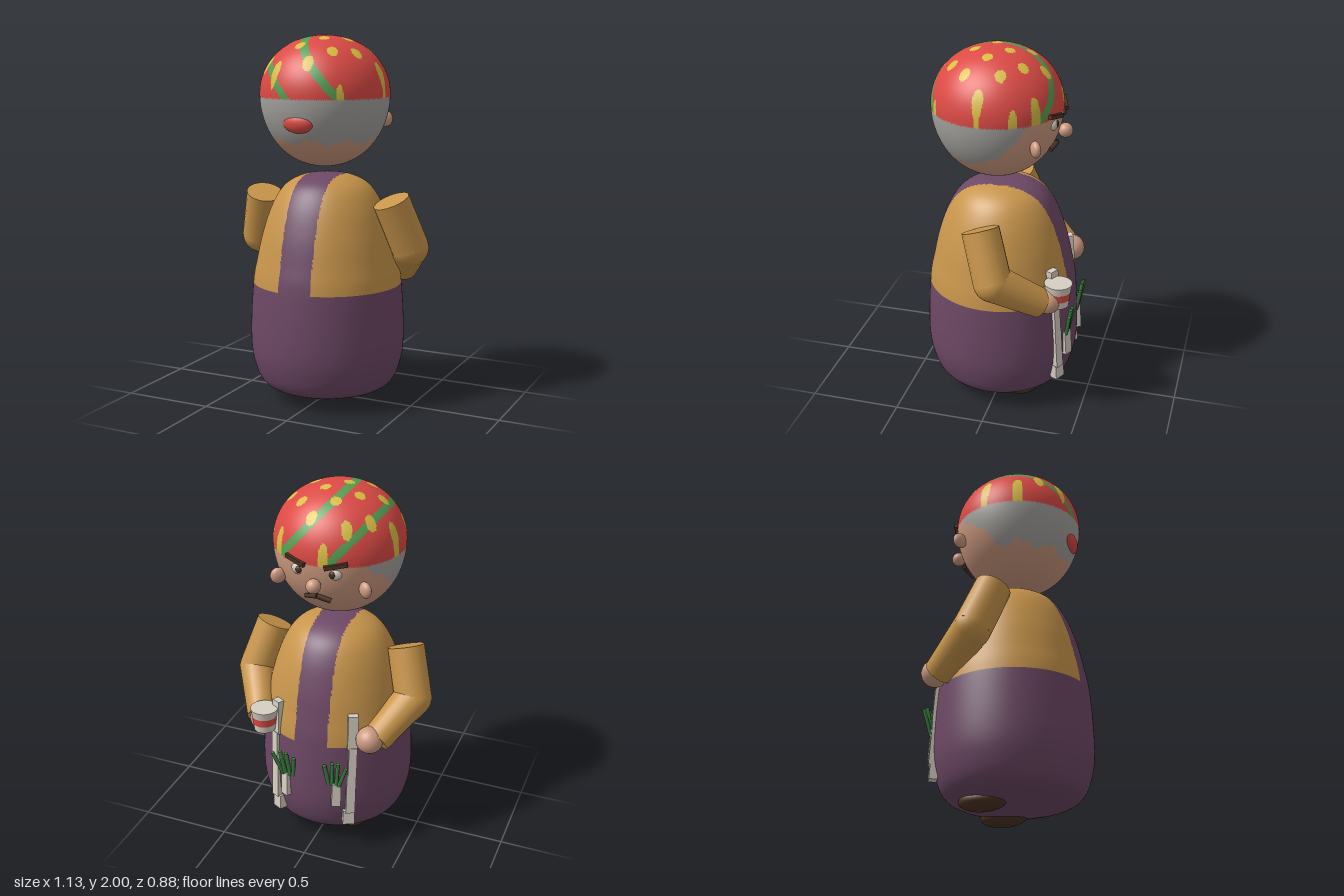
import * as THREE from 'three';

const mat = (name, color) => {
  const m = new THREE.MeshStandardMaterial({ color });
  m.name = name;
  return m;
};
const red = mat('red', 0xdc4a45), green = mat('stripe green', 0x559e52), yellow = mat('dot yellow', 0xd9bd42);
const grey = mat('hair grey', 0xa5a39f), skin = mat('skin', 0xcd9a80), orange = mat('shirt ochre', 0xc8954b);
const purple = mat('overall purple', 0x6d4865), dark = mat('dark brown', 0x4a3222);
const bone = mat('bone white', 0xd6cfc2), leaf = mat('leaf green', 0x3c8442);

const v = (x, y, z) => new THREE.Vector3(x, y, z);

function add(parent, name, geo, material, pos = v(0, 0, 0)) {
  const mesh = new THREE.Mesh(geo, material);
  mesh.name = name;
  mesh.position.copy(pos);
  parent.add(mesh);
  return mesh;
}

function ball(parent, name, material, pos, rx, ry = rx, rz = rx) {
  return add(parent, name, new THREE.SphereGeometry(1, 24, 16).scale(rx, ry, rz), material, pos);
}

// Tapered rod from a to b
function rod(parent, name, material, a, b, ra, rb = ra, sides = 20) {
  const mesh = add(parent, name, new THREE.CylinderGeometry(rb, ra, a.distanceTo(b), sides), material,
    a.clone().add(b).multiplyScalar(0.5));
  mesh.quaternion.setFromUnitVectors(v(0, 1, 0), b.clone().sub(a).normalize());
  return mesh;
}

// Sort the triangles into material groups, using a rule on each triangle's centre
function paint(geo, rule, count) {
  const p = geo.attributes.position, idx = geo.index.array;
  const buckets = Array.from({ length: count }, () => []);
  for (let i = 0; i < idx.length; i += 3) {
    const t = [idx[i], idx[i + 1], idx[i + 2]];
    const mid = (get) => (get(t[0]) + get(t[1]) + get(t[2])) / 3;
    buckets[rule(mid((k) => p.getX(k)), mid((k) => p.getY(k)), mid((k) => p.getZ(k)))].push(...t);
  }
  geo.setIndex(buckets.flat());
  let start = 0;
  buckets.forEach((b, i) => {
    geo.addGroup(start, b.length, i);
    start += b.length;
  });
  return geo;
}

// Purple overalls with a centre strap over an ochre shirt
function buildBody(root) {
  const outline = [[0, 0.03], [0.12, 0.035], [0.23, 0.05], [0.355, 0.1], [0.41, 0.22], [0.425, 0.38], [0.41, 0.66],
    [0.385, 0.8], [0.35, 0.95], [0.295, 1.1], [0.225, 1.2], [0.12, 1.252], [0, 1.262]];
  const curve = new THREE.SplineCurve(outline.map(([r, y]) => new THREE.Vector2(r, y)));
  const points = curve.getPoints(72).map((q) => new THREE.Vector2(Math.max(q.x, 0), q.y));
  const geo = new THREE.LatheGeometry(points, 240).translate(0, 0, 0.012);
  paint(geo, (x, y) => (y > 0.66 && Math.abs(x) > 0.093 ? 1 : 0), 2);
  add(root, 'body', geo, [purple, orange]);
}

// Egg-shaped head carrying the face, hair and patterned cap
function buildHead(root) {
  const points = [];
  for (let i = 0; i <= 110; i++) {
    const t = -Math.PI / 2 + (Math.PI * i) / 110, s = Math.sin(t);
    points.push(new THREE.Vector2(0.351 * Math.max(Math.cos(t), 0) ** 0.95, 1.69 + s * (s > 0 ? 0.31 : 0.39)));
  }
  const geo = new THREE.LatheGeometry(points, 240).translate(0, 0, 0.042);
  const rule = (x, y, z) => {
    if (y > 1.675) {
      const row = Math.round((z - 0.055) / 0.0925);
      const u = x + 0.045 - (row % 2 ? 0.0925 : 0);
      if (Math.hypot(u - 0.185 * Math.round(u / 0.185), z - 0.055 - row * 0.0925) < 0.028) return 4;
      const d = x + 0.88 * y;
      return Math.abs(d - 1.69) < 0.027 || Math.abs(d - 1.417) < 0.027 ? 3 : 2;
    }
    const a = Math.atan2(x, z - 0.042);
    const hairline = 1.45 + 0.015 * Math.sin(9 * a) + 0.008 * Math.sin(23 * a) + Math.max(0, 0.03 - z) * 0.92;
    return y > hairline ? 1 : 0;
  };
  add(root, 'head', paint(geo, rule, 5), [skin, grey, red, green, yellow]);
  ball(root, 'hairTie', red, v(0, 1.552, 0.345), 0.09, 0.054, 0.042);
}

function buildFace(root) {
  ball(root, 'nose', skin, v(0, 1.57, -0.325), 0.039);
  for (const s of [1, -1]) {
    ball(root, 'ear', skin, v(s * 0.24, 1.545, -0.222), 0.042, 0.044, 0.026).rotation.y = s * 0.6;
    ball(root, 'eye', bone, v(s * 0.1, 1.635, -0.277), 0.036, 0.033, 0.026);
    ball(root, 'pupil', dark, v(s * 0.092, 1.635, -0.298), 0.017, 0.019, 0.01);
    const brow = add(root, 'eyebrow', new THREE.BoxGeometry(0.12, 0.022, 0.03), dark, v(s * 0.108, 1.684, -0.292));
    brow.rotation.set(0, s * -0.32, s * 0.2);
  }
  const lips = [v(-0.07, 1.472, -0.262), v(0, 1.495, -0.278), v(0.07, 1.48, -0.262)];
  rod(root, 'mouth', dark, lips[0], lips[1], 0.014, 0.014, 6);
  rod(root, 'mouth', dark, lips[1], lips[2], 0.014, 0.012, 6);
}

function buildArm(root, s) {
  const arm = new THREE.Group();
  arm.name = s > 0 ? 'leftArm' : 'rightArm';
  root.add(arm);
  const shoulder = v(s * 0.385, 1.13, 0.03), elbow = v(s * 0.462, 0.87, -0.055), wrist = v(s * 0.335, 0.71, -0.285);
  rod(arm, 'upperSleeve', orange, shoulder, elbow, 0.1, 0.102);
  ball(arm, 'elbow', orange, elbow, 0.102);
  rod(arm, 'lowerSleeve', orange, elbow, wrist, 0.102, 0.08);
  ball(arm, 'hand', skin, v(s * 0.31, 0.72, -0.316), 0.074);
}

// Cup held in the left hand
function buildCup(root) {
  const cup = new THREE.Group();
  cup.name = 'cup';
  cup.position.set(0.28, 0, -0.365);
  root.add(cup);
  const part = (name, m, y0, y1, r0, r1) => rod(cup, name, m, v(0, y0, 0), v(0, y1, 0), r0, r1, 24);
  part('cupBase', bone, 0.685, 0.725, 0.058, 0.062);
  part('cupBand', red, 0.725, 0.77, 0.063, 0.067);
  part('cupRim', bone, 0.77, 0.815, 0.068, 0.075);
}

// Pale straps on the overalls with tufts of green shoots
function buildStrap(root, s) {
  const strap = new THREE.Group();
  strap.name = s > 0 ? 'leftStrap' : 'rightStrap';
  root.add(strap);
  const pieces = [[0.215, 0.75, -0.32, 0.055, 0.2], [0.22, 0.57, -0.335, 0.045, 0.18],
    [0.216, 0.37, -0.348, 0.05, 0.24], [0.206, 0.215, -0.354, 0.065, 0.085], [0.145, 0.37, -0.385, 0.05, 0.14]];
  for (const [x, y, z, w, h] of pieces) {
    const piece = add(strap, 'strapPiece', new THREE.BoxGeometry(w, h, 0.045), bone, v(s * x, y, z));
    piece.rotation.set(0.07, s * -0.5, 0);
  }
  for (const [x0, x1, y1] of [[0.105, 0.09, 0.56], [0.125, 0.135, 0.585], [0.15, 0.17, 0.59], [0.165, 0.215, 0.57]]) {
    rod(strap, 'shoot', leaf, v(s * x0, 0.43, -0.392), v(s * x1, y1, -0.416), 0.011, 0.011, 6);
  }
}

export function createModel() {
  const root = new THREE.Group();
  root.name = 'figure';
  buildBody(root);
  buildHead(root);
  buildFace(root);
  buildCup(root);
  for (const s of [1, -1]) {
    buildArm(root, s);
    buildStrap(root, s);
    ball(root, 'foot', dark, v(s * 0.16, 0.05, -0.1), 0.085, 0.05, 0.13);
  }
  return root;
}
